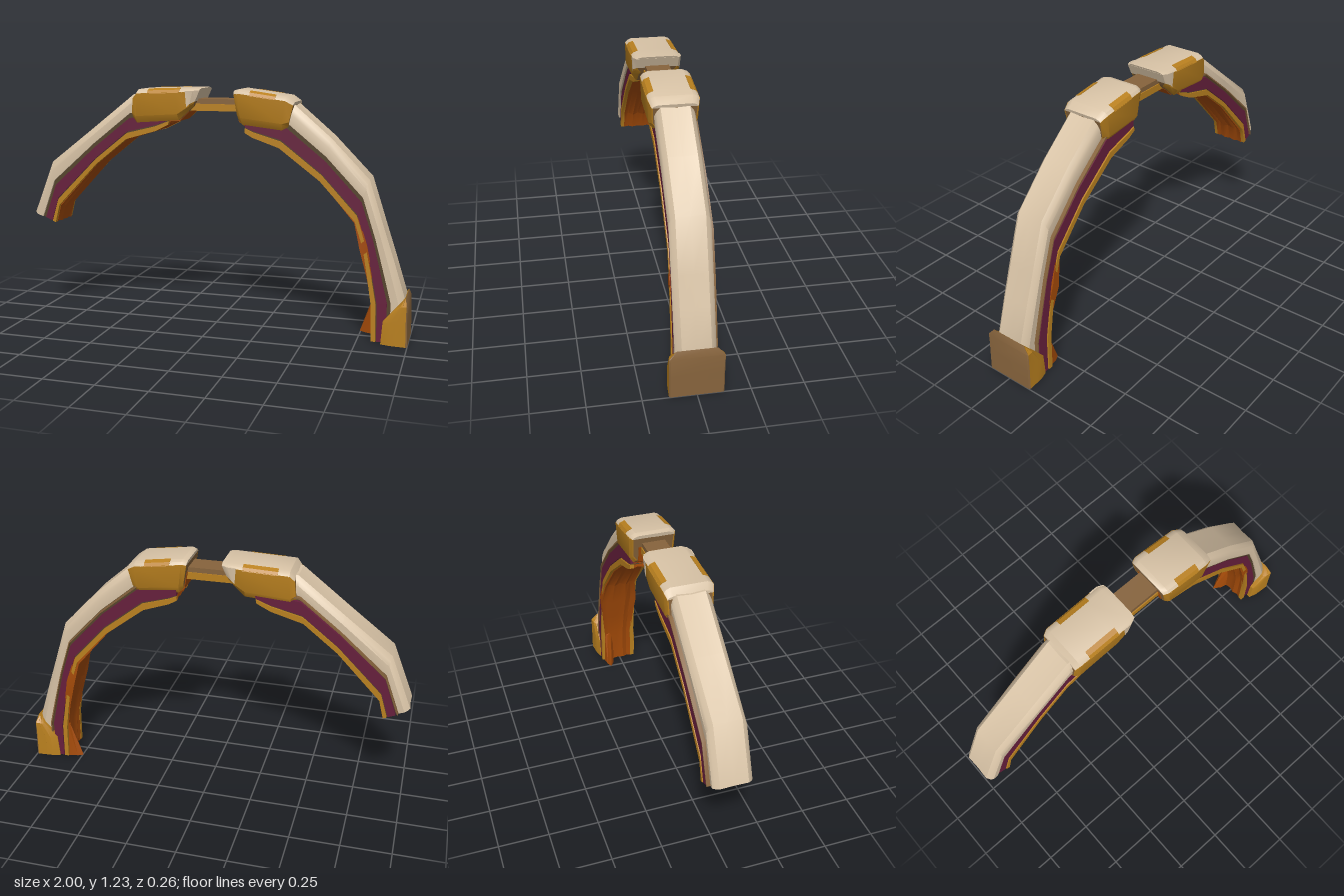
import * as THREE from 'three';
import { toCreasedNormals } from 'three/addons/utils/BufferGeometryUtils.js';

const material = (name, color) => {
  const m = new THREE.MeshStandardMaterial({ color });
  m.name = name;
  return m;
};

// Lofts a closed profile of [t, z] along stations [outerX, outerY, innerX, innerY, zScale],
// t = 0 on the outer line and t = 1 on the inner line. Stations run clockwise.
function loft(stations, profile) {
  const rings = stations.map(([ox, oy, ix, iy, s = 1]) =>
    profile.map(([t, z]) => new THREE.Vector3(ox + (ix - ox) * t, oy + (iy - oy) * t, z * s)));
  const pos = [];
  const tri = (...pts) => pts.forEach((p) => pos.push(p.x, p.y, p.z));
  const n = profile.length;
  for (let i = 0; i < rings.length - 1; i++) {
    for (let j = 0; j < n; j++) {
      const k = (j + 1) % n;
      tri(rings[i][j], rings[i][k], rings[i + 1][k]);
      tri(rings[i][j], rings[i + 1][k], rings[i + 1][j]);
    }
  }
  // End faces
  const flat = profile.map(([t, z]) => new THREE.Vector2(t, z));
  const first = rings[0], last = rings[rings.length - 1];
  const ccw = !THREE.ShapeUtils.isClockWise(flat);
  for (const [a, b, c] of THREE.ShapeUtils.triangulateShape(flat, [])) {
    const sameOrder = THREE.ShapeUtils.area([flat[a], flat[b], flat[c]]) > 0 === ccw;
    const [p, q, r] = sameOrder ? [a, b, c] : [a, c, b];
    tri(last[p], last[q], last[r]);
    tri(first[p], first[r], first[q]);
  }
  const g = new THREE.BufferGeometry();
  g.setAttribute('position', new THREE.Float32BufferAttribute(pos, 3));
  return toCreasedNormals(g, 0.55);
}

const box = (t0, t1, z0, z1) => [[t0, z0], [t0, z1], [t1, z1], [t1, z0]];
const mirrorZ = (profile) => profile.map(([t, z]) => [t, -z]).reverse();

export function createModel() {
  const model = new THREE.Group();
  model.name = 'archedBand';
  const cream = material('cream', 0xd8c3a6);
  const gold = material('gold', 0xb9801f);
  const brown = material('brown', 0x86633c);
  const dark = material('darkBrown', 0x54432b);
  const purple = material('purple', 0x661f3c);
  const orange = material('orange', 0xa34a08);

  const add = (parent, name, geometry, mat) => {
    const mesh = new THREE.Mesh(geometry, mat);
    mesh.name = name;
    parent.add(mesh);
    return mesh;
  };
  const group = (name) => {
    const g = new THREE.Group();
    g.name = name;
    model.add(g);
    return g;
  };

  // Arms: bevelled shell, seams, padded core, two trim rails and a lining
  const shell = [[0, -0.068], [0.02, 0], [0, 0.068], [0.1, 0.086], [0.2, 0.095], [0.42, 0.092],
    [0.42, -0.092], [0.2, -0.095], [0.1, -0.086]];
  const liningProfile = [[0, -0.09], [0, 0.071], [0.88, 0.071], [0.72, 0.045], [1, 0.02],
    [0.78, -0.01], [0.97, -0.04], [0.78, -0.065], [0.96, -0.09]];

  // Each lining entry holds how far it passes the trim and its width scale
  function arm(name, stations, lining) {
    const g = group(name);
    add(g, 'outerShell', loft(stations, shell), cream);
    add(g, 'seam', loft(stations, box(0.41, 0.54, -0.088, 0.083)), dark);
    add(g, 'backLip', loft(stations, box(0.43, 0.47, -0.11, -0.086)), brown);
    add(g, 'paddedCore', loft(stations, box(0.53, 0.83, -0.106, 0.086)), purple);
    add(g, 'innerSeam', loft(stations, box(0.82, 0.87, -0.1, 0.08)), dark);
    add(g, 'frontTrim', loft(stations, box(0.86, 1, 0.068, 0.09)), gold);
    add(g, 'backTrim', loft(stations, box(0.86, 1, -0.109, -0.088)), gold);
    const inner = stations.map(([ox, oy, ix, iy], i) => {
      const at = (t) => [ox + (ix - ox) * t, oy + (iy - oy) * t];
      const [reach, width] = lining[i];
      return [...at(0.8), ...at(1 + reach), width];
    });
    add(g, 'lining', loft(inner, liningProfile), orange);
    return g;
  }

  const leftArm = arm('leftArm', [
    [0.18, 1.17, 0.17, 1.015], [0.23, 1.18, 0.21, 0.992], [0.39, 1.18, 0.345, 0.945],
    [0.6, 1.0, 0.55, 0.79], [0.79, 0.805, 0.725, 0.6], [0.87, 0.56, 0.768, 0.47],
    [0.92, 0.41, 0.793, 0.33], [0.98, 0.22, 0.815, 0.19], [0.982, 0.003, 0.82, 0.003],
  ], [[0, 1], [0, 1], [0.02, 1], [0.03, 1], [0.08, 1.1], [0.18, 1.3], [0.06, 1.15], [0.02, 1], [0.02, 1]]);

  // Loose flap of lining at the back of the long arm
  add(leftArm, 'liningFlap', loft([[0.84, 0.2, 0.81, 0.19], [0.84, 0, 0.745, 0]],
    [[0, -0.1], [0, -0.035], [0.6, -0.05], [1, -0.075], [0.7, -0.09]]), orange);

  arm('rightArm', [
    [-1, 0.555, -0.875, 0.505], [-0.89, 0.83, -0.85, 0.6], [-0.65, 1.015, -0.63, 0.83],
    [-0.42, 1.195, -0.46, 0.965], [-0.3, 1.19, -0.3, 1.01], [-0.2, 1.18, -0.23, 1.045],
  ], [[0.04, 1], [0.05, 1], [0.03, 1], [0.02, 1], [0, 1], [0, 1]]);

  // Top housings: brown body, gold side plates, cream lid and gold tabs over the lid edge
  const lid = [[0, -0.088], [0, 0.088], [0.05, 0.108], [0.13, 0.12], [0.13, -0.12], [0.05, -0.108]];
  const body = [[0.12, -0.114], [0.12, 0.114], [0.8, 0.11], [1, 0.089], [1, -0.089], [0.8, -0.11]];
  const side = [[0.12, 0.113], [0.12, 0.12], [0.8, 0.116], [1, 0.095], [1, 0.088], [0.8, 0.109]];
  const tab = [[-0.012, 0.086], [0.042, 0.11], [0.14, 0.1215], [0.14, 0.115], [0.02, 0.086]];

  function housing(name, stations, tabStations) {
    const g = group(name);
    add(g, 'lid', loft(stations, lid), cream);
    add(g, 'body', loft(stations, body), brown);
    add(g, 'frontPlate', loft(stations, side), gold);
    add(g, 'backPlate', loft(stations, mirrorZ(side)), gold);
    add(g, 'frontTab', loft(tabStations, tab), gold);
    add(g, 'backTab', loft(tabStations, mirrorZ(tab)), gold);
    return g;
  }

  const leftHousing = housing('leftHousing', [
    [0.115, 1.222, 0.14, 1.075, 0.9], [0.14, 1.229, 0.16, 1.056], [0.38, 1.197, 0.36, 1.033],
    [0.42, 1.17, 0.39, 1.05, 0.9],
  ], [[0.2, 1.222, 0.21, 1.05], [0.33, 1.204, 0.32, 1.037]]);
  add(leftHousing, 'endPanel', loft([[0.112, 1.222, 0.137, 1.073], [0.15, 1.226, 0.165, 1.053]],
    box(0.45, 1.03, -0.075, 0.075)), orange);

  const rightHousing = housing('rightHousing', [
    [-0.41, 1.19, -0.42, 1.08, 0.92], [-0.385, 1.222, -0.395, 1.053], [-0.18, 1.229, -0.17, 1.07],
    [-0.085, 1.23, -0.115, 1.12], [-0.055, 1.23, -0.095, 1.14, 0.88],
  ], [[-0.33, 1.224, -0.33, 1.058], [-0.16, 1.23, -0.16, 1.072]]);
  // Lid wrapping down over the inner end, and the lining below it
  add(rightHousing, 'lidNose', loft([
    [-0.13, 1.23, -0.12, 1.098], [-0.085, 1.23, -0.115, 1.12], [-0.053, 1.23, -0.093, 1.14, 0.88],
  ], [[0.1, -0.121], [0.1, 0.121], [0.7, 0.1185], [0.7, -0.1185]]), cream);
  add(rightHousing, 'underPanel', loft([
    [-0.24, 1.229, -0.24, 1.065], [-0.18, 1.229, -0.17, 1.07], [-0.11, 1.23, -0.122, 1.115],
  ], box(0.9, 1.03, -0.075, 0.075)), orange);

  // Bridge between the housings
  const bridge = group('bridge');
  const block = (name, y0, y1, z0, z1, mat) =>
    add(bridge, name, new THREE.BoxGeometry(0.28, y1 - y0, z1 - z0), mat)
      .position.set(0.01, (y0 + y1) / 2, (z0 + z1) / 2);
  block('upperBar', 1.15, 1.177, -0.058, 0.06, brown);
  block('lowerBar', 1.117, 1.152, -0.058, 0.061, brown);
  block('frontStrip', 1.117, 1.152, 0.061, 0.066, gold);
  block('backStrip', 1.117, 1.152, -0.063, -0.058, gold);

  // Foot at the end of the long arm, open towards the padded core
  const foot = group('foot');
  const footStations = [
    [0.985, 0.24, 0.972, 0.225, 0.74], [0.994, 0.203, 0.945, 0.195, 1],
    [0.997, 0.11, 0.878, 0.115, 1], [1, 0, 0.87, 0, 1],
  ];
  const wall = [[0.44, 0.09], [0.44, 0.1245], [0.7, 0.122], [1, 0.11], [1, 0.09]];
  add(foot, 'outerPlate', loft(footStations, [[0, -0.122], [0, 0.122], [0.06, 0.128], [0.06, -0.128]]), brown);
  add(foot, 'footBlock', loft(footStations, [[0.06, -0.128], [0.06, 0.128], [0.45, 0.1245], [0.45, -0.1245]]), gold);
  add(foot, 'frontWall', loft(footStations, wall), gold);
  add(foot, 'backWall', loft(footStations, mirrorZ(wall)), gold);

  return model;
}
